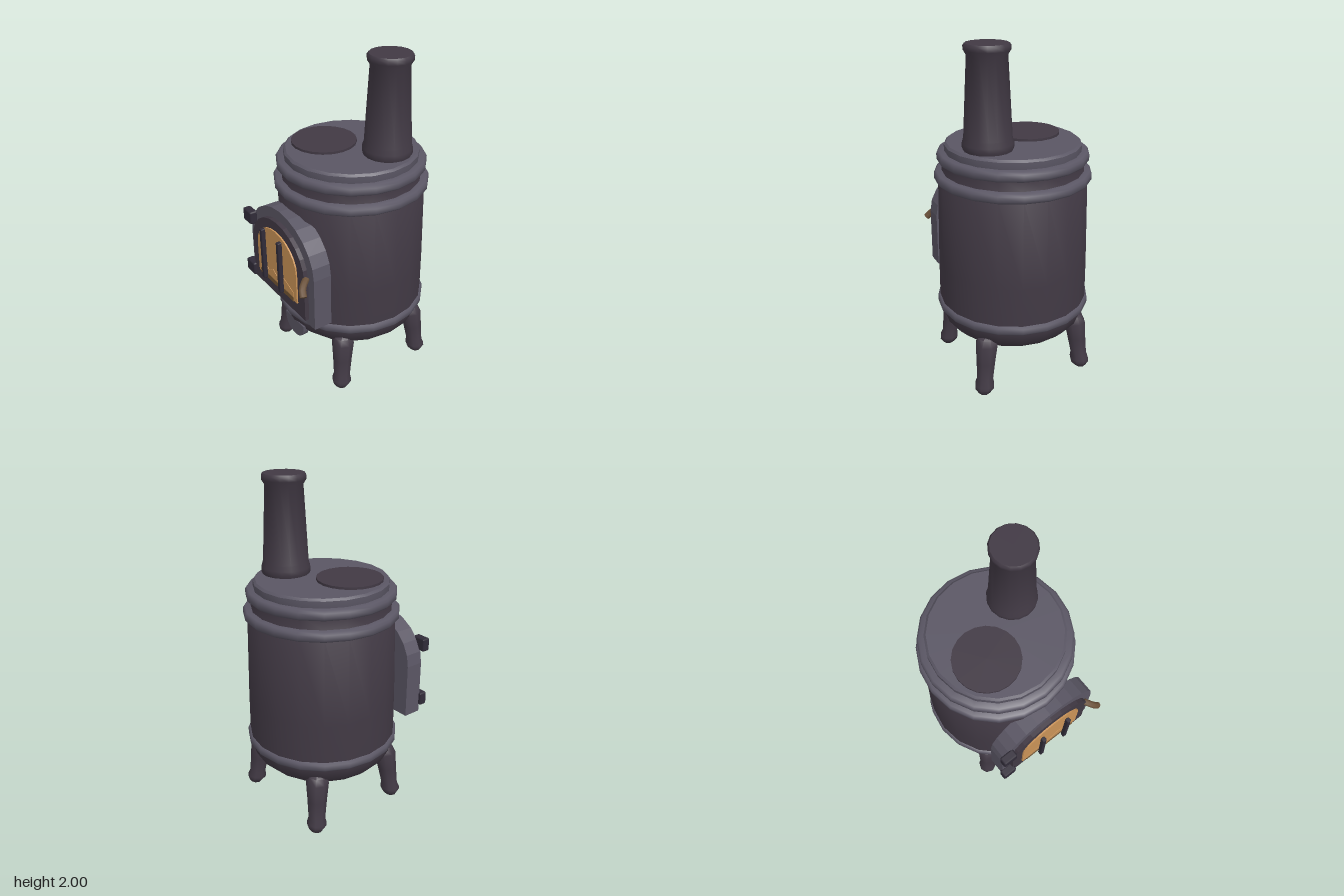
import * as THREE from 'three';
import { toCreasedNormals } from 'three/addons/utils/BufferGeometryUtils.js';
import { RoundedBoxGeometry } from 'three/addons/geometries/RoundedBoxGeometry.js';

const mat = (name, color) => new THREE.MeshStandardMaterial({ name, color });

export function createModel() {
  const iron = mat('dark iron', 0x413944);
  const trim = mat('grey iron trim', 0x5a5664);
  const black = mat('blackened iron', 0x302b38);
  const glow = mat('amber glass', 0xca9357);
  const ember = mat('log brown', 0x765733);
  const brass = mat('aged brass', 0x6a5038);

  const stove = new THREE.Group();
  stove.name = 'stove';
  const CZ = -0.065; // axis of the barrel

  const add = (name, geometry, material, x = 0, y = 0, z = 0) => {
    const mesh = new THREE.Mesh(geometry, material);
    mesh.name = name;
    mesh.position.set(x, y, z);
    stove.add(mesh);
    return mesh;
  };
  const lathe = (points, sides = 20, crease = 0.6) => toCreasedNormals(
    new THREE.LatheGeometry(points.map(([r, y]) => new THREE.Vector2(r, y)), sides), crease);

  // Barrel with rounded bowl underneath
  add('barrel', lathe([
    [0, 0.265], [0.31, 0.265], [0.37, 0.29], [0.42, 0.34], [0.445, 0.41],
    [0.446, 0.47], [0.444, 0.7], [0.432, 1.22], [0.41, 1.26], [0.41, 1.34], [0, 1.34],
  ]), iron, 0, 0, CZ);

  // Rounded hoops
  const hoop = (name, r, y0, y1) => add(name, lathe([
    [r - 0.07, y0], [r - 0.012, y0], [r, y0 + 0.013],
    [r, y1 - 0.013], [r - 0.012, y1], [r - 0.07, y1],
  ], 20, 0.9), trim, 0, 0, CZ);
  hoop('lowerHoop', 0.46, 0.412, 0.468);
  hoop('upperHoop', 0.455, 1.208, 1.265);
  hoop('collarHoop', 0.437, 1.322, 1.38);

  // Lid and hot plate
  add('lid', lathe([
    [0, 1.37], [0.39, 1.37], [0.393, 1.385], [0.393, 1.418], [0.38, 1.43], [0, 1.43],
  ]), trim, 0, 0, CZ);
  add('hotPlate', new THREE.CylinderGeometry(0.192, 0.192, 0.02, 20), iron, -0.137, 1.434, 0.032);

  // Chimney
  add('chimney', lathe([
    [0.134, 1.42], [0.144, 1.445], [0.143, 1.47], [0.134, 1.5], [0.11, 1.94],
    [0.126, 1.965], [0.127, 1.988], [0.118, 2], [0, 2],
  ], 16, 0.8), iron, 0.2, 0, -0.17);

  // Legs: an eight-sided profile leaning outwards
  for (const sx of [-1, 1]) for (const sz of [-1, 1]) {
    const leg = new THREE.LatheGeometry([
      [0, 0], [0.035, 0.003], [0.058, 0.035], [0.059, 0.055], [0.05, 0.085],
      [0.058, 0.2], [0.068, 0.31], [0.055, 0.35], [0, 0.37],
    ].map(([r, y]) => new THREE.Vector2(r, y)), 8);
    const p = leg.attributes.position;
    for (let i = 0; i < p.count; i++) {
      const lean = 0.04 * (1 - p.getY(i) / 0.36);
      p.setX(i, p.getX(i) + sx * lean);
      p.setZ(i, p.getZ(i) + sz * lean);
    }
    add('leg', toCreasedNormals(leg, 0.9), iron, sx * 0.288, 0, CZ + sz * 0.26);
  }

  // Arched plates of the door
  const arch = (name, material, w, y0, spring, top, z0, z1) => {
    const s = new THREE.Shape();
    s.moveTo(-w, y0);
    s.lineTo(w, y0);
    s.lineTo(w, spring);
    for (let i = 1; i <= 12; i++) {
      const a = (i / 12) * Math.PI;
      s.lineTo(w * Math.cos(a), spring + (top - spring) * Math.sin(a));
    }
    const g = new THREE.ExtrudeGeometry(s, { depth: z1 - z0, bevelEnabled: false });
    add(name, g, material, 0, 0, z0);
  };
  arch('doorFrame', trim, 0.345, 0.54, 0.87, 1.15, 0.318, 0.43);
  arch('door', iron, 0.286, 0.578, 0.85, 1.088, 0.42, 0.456);
  arch('glass', glow, 0.215, 0.66, 0.86, 1.03, 0.45, 0.465);

  // Flame and log on the glass
  const flame = new THREE.Shape([
    [-0.185, 0.685], [0.185, 0.685], [0.185, 0.72], [0.13, 0.74], [0.06, 0.765], [0.0, 0.73],
    [-0.04, 0.755], [-0.09, 0.725], [-0.14, 0.755], [-0.185, 0.71],
  ].map(([x, y]) => new THREE.Vector2(x, y)));
  add('flame', new THREE.ExtrudeGeometry(flame, { depth: 0.003, bevelEnabled: false }), glow, 0, 0, 0.465);
  add('log', new THREE.BoxGeometry(0.37, 0.03, 0.008), ember, 0, 0.675, 0.467);

  // Guard bars
  for (const x of [-0.092, 0.092]) {
    add('guardBar', new RoundedBoxGeometry(0.027, 0.335, 0.027, 1, 0.005), black, x, 0.85, 0.494);
  }

  // Hinges
  for (const y of [0.625, 0.987]) {
    add('hinge', new RoundedBoxGeometry(0.093, 0.082, 0.05, 1, 0.01), black, -0.317, y, 0.45);
  }

  // Handle: bent six-sided rod with closed ends
  const bend = new THREE.CatmullRomCurve3([
    [0.282, 0.86, 0.44], [0.302, 0.848, 0.468], [0.322, 0.83, 0.49], [0.35, 0.8, 0.502],
  ].map((c) => new THREE.Vector3(...c)));
  add('handle', new THREE.TubeGeometry(bend, 6, 0.021, 8), brass);
  for (const t of [0, 1]) {
    const cap = add('handleEnd', new THREE.CircleGeometry(0.021, 8), brass);
    cap.position.copy(bend.getPoint(t));
    const dir = bend.getTangent(t).multiplyScalar(t ? 1 : -1);
    cap.quaternion.setFromUnitVectors(new THREE.Vector3(0, 0, 1), dir);
  }

  // Ash lip: half-round tongue under the door
  const lip = new THREE.Shape();
  lip.moveTo(-0.102, 0.365);
  lip.lineTo(-0.1, 0.33);
  lip.bezierCurveTo(-0.085, 0.225, 0.085, 0.225, 0.1, 0.33);
  lip.lineTo(0.102, 0.365);
  lip.closePath();
  add('ashLip', toCreasedNormals(
    new THREE.ExtrudeGeometry(lip, { depth: 0.04, bevelEnabled: false, curveSegments: 8 }), 0.6), trim, 0, 0, 0.32);

  return stove;
}
